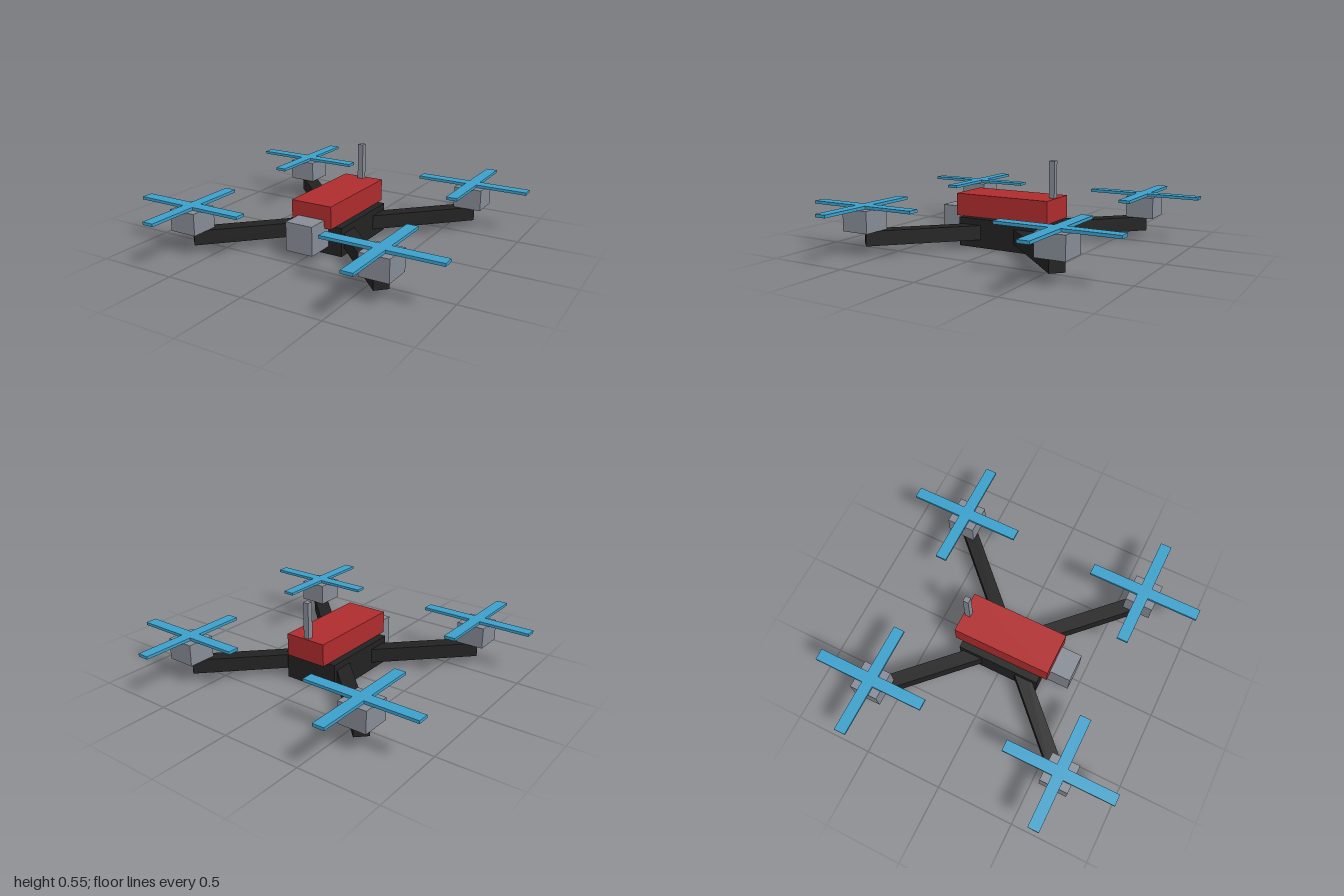
import * as THREE from 'three';

const material = (name, color) => {
  const m = new THREE.MeshStandardMaterial({ color });
  m.name = name;
  return m;
};

export function createModel() {
  const black = material('black frame', 0x222222);
  const red = material('red shell', 0xb02c2e);
  const grey = material('grey metal', 0x878c96);
  const blue = material('blue blades', 0x3ba0cb);

  const model = new THREE.Group();
  model.name = 'quadcopter';

  // Box given by size, centre x/z and bottom height
  const box = (name, mat, [w, h, d], [x, y, z], parent = model) => {
    const mesh = new THREE.Mesh(new THREE.BoxGeometry(w, h, d), mat);
    mesh.name = name;
    mesh.position.set(x, y + h / 2, z);
    parent.add(mesh);
    return mesh;
  };

  // Central body
  box('chassis', black, [0.36, 0.18, 0.54], [0, 0, 0]);
  box('topShell', red, [0.27, 0.14, 0.635], [0, 0.18, 0]);
  box('camera', grey, [0.18, 0.18, 0.18], [0, 0.05, 0.362]);
  box('antenna', grey, [0.036, 0.225, 0.036], [0, 0.32, -0.288]);

  // Cross-shaped propeller, extruded upwards
  const a = 0.3625, b = 0.036;
  const cross = new THREE.Shape([
    [a, -b], [a, b], [b, b], [b, a], [-b, a], [-b, b],
    [-a, b], [-a, -b], [-b, -b], [-b, -a], [b, -a], [b, -b],
  ].map(([x, y]) => new THREE.Vector2(x, y)));
  const propGeometry = new THREE.ExtrudeGeometry(cross, { depth: 0.018, bevelEnabled: false });
  propGeometry.rotateX(-Math.PI / 2);

  // Four diagonal arms, each with a motor and propeller
  const reach = 0.6365, inner = 0.1;
  for (const sx of [-1, 1]) {
    for (const sz of [-1, 1]) {
      const rotor = new THREE.Group();
      rotor.name = `${sz > 0 ? 'front' : 'back'}${sx > 0 ? 'Left' : 'Right'}Rotor`;
      model.add(rotor);

      const mid = (reach + inner) / 2;
      const arm = box('arm', black, [0.09, 0.09, (reach - inner) * Math.SQRT2],
        [sx * mid, 0.05, sz * mid], rotor);
      arm.rotation.y = Math.atan2(sx, sz);

      box('motor', grey, [0.18, 0.135, 0.18], [sx * reach, 0.14, sz * reach], rotor);

      const propeller = new THREE.Mesh(propGeometry, blue);
      propeller.name = 'propeller';
      propeller.position.set(sx * reach, 0.275, sz * reach);
      rotor.add(propeller);
    }
  }
  return model;
}
